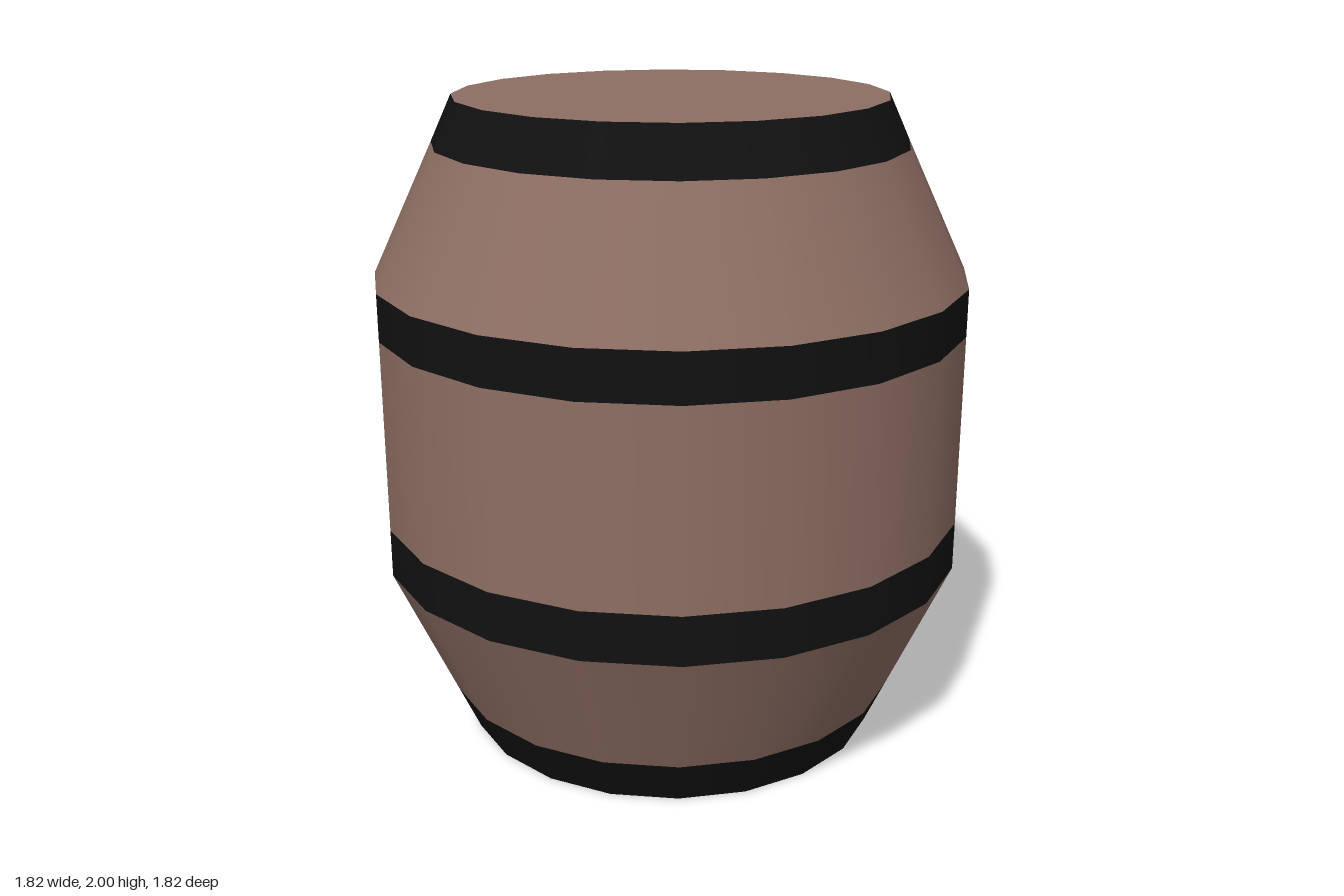
import * as THREE from 'three';

const SIDES = 20;

export function createModel() {
  const barrel = new THREE.Group();
  barrel.name = 'barrel';
  const wood = new THREE.MeshStandardMaterial({ color: 0x8d6e63 });
  const iron = new THREE.MeshStandardMaterial({ color: 0x111111 });

  // Wall sections from bottom to top: name, material, lower [radius, y], upper [radius, y]
  const sections = [
    ['bottomHoop', iron, [0.655, 0], [0.72, 0.145]],
    ['lowerStaves', wood, [0.72, 0.145], [0.91, 0.57]],
    ['lowerMiddleHoop', iron, [0.91, 0.57], [0.91, 0.72]],
    ['middleStaves', wood, [0.91, 0.72], [0.91, 1.315]],
    ['upperMiddleHoop', iron, [0.91, 1.315], [0.91, 1.46]],
    ['upperStaves', wood, [0.91, 1.46], [0.72, 1.86]],
    ['topHoop', iron, [0.72, 1.86], [0.655, 2]],
  ];
  for (const [name, material, [r0, y0], [r1, y1]] of sections) {
    const wall = new THREE.Mesh(new THREE.CylinderGeometry(r1, r0, y1 - y0, SIDES, 1, true), material);
    wall.position.y = (y0 + y1) / 2;
    wall.name = name;
    barrel.add(wall);
  }

  // Flat wooden heads closing both ends
  for (const [name, y, turn] of [['topHead', 2, -1], ['bottomHead', 0, 1]]) {
    const head = new THREE.Mesh(new THREE.CircleGeometry(0.655, SIDES), wood);
    head.rotation.x = turn * Math.PI / 2;
    head.position.y = y;
    head.name = name;
    barrel.add(head);
  }
  return barrel;
}
